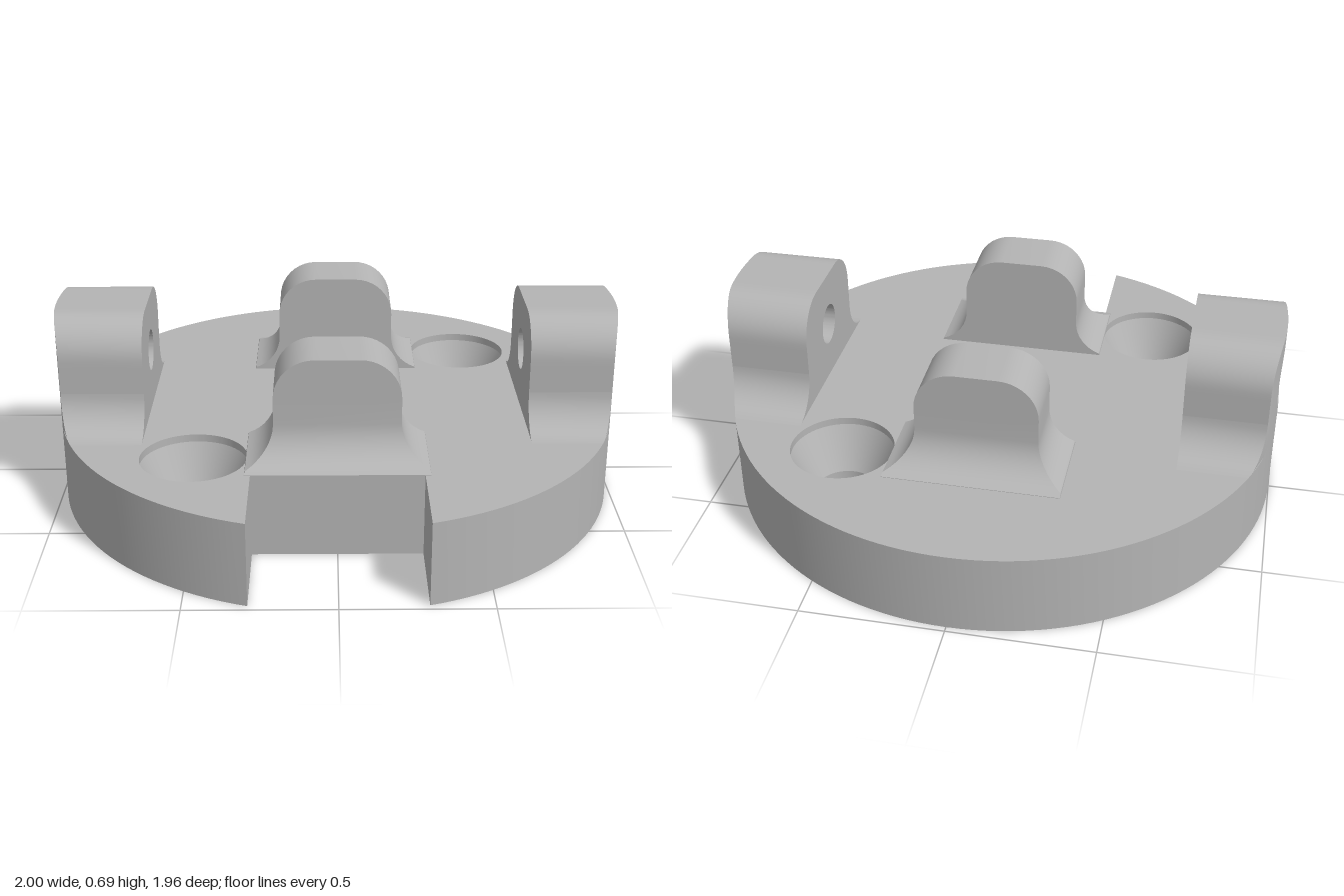
import * as THREE from 'three';
import { toCreasedNormals } from 'three/addons/utils/BufferGeometryUtils.js';

const PLATE = 0.295;          // plate thickness
const FILLET = 0.135;         // radius where lugs meet the plate
const CREASE = 0.4;
const STEPS = 10;

const rimX = (u) => Math.sqrt(1 - u * u); // edge of the round plate

// Skin consecutive loops that run counter-clockwise about the direction of travel
function loft(loops, closed = false) {
  const n = loops[0].length, pos = loops.flat(2), idx = [];
  const last = closed ? loops.length : loops.length - 1;
  for (let k = 0; k < last; k++) {
    const a = k * n, b = ((k + 1) % loops.length) * n;
    for (let i = 0; i < n; i++) {
      const j = (i + 1) % n;
      idx.push(a + i, a + j, b + j, a + i, b + j, b + i);
    }
  }
  const g = new THREE.BufferGeometry();
  g.setAttribute('position', new THREE.Float32BufferAttribute(pos, 3));
  g.setIndex(idx);
  return toCreasedNormals(g, CREASE);
}

// Round plate with a notch at the front and two holes
function plateGeometry() {
  const a = Math.asin(0.29);
  const s = new THREE.Shape();
  s.moveTo(-0.29, -0.63);
  s.lineTo(0.29, -0.63);
  s.absarc(0, 0, 1, -Math.PI / 2 + a, 1.5 * Math.PI - a, false);
  s.closePath();
  for (const k of [-1, 1]) {
    s.holes.push(new THREE.Path().absarc(k * 0.488, k * 0.487, 0.183, 0, Math.PI * 2, true));
  }
  const g = new THREE.ExtrudeGeometry(s, { depth: PLATE, bevelEnabled: false, curveSegments: 64 });
  return toCreasedNormals(g.rotateX(-Math.PI / 2), CREASE);
}

// Conical lining of a plate hole
function countersinkGeometry() {
  const pts = [[0.184, 0.27], [0.11, 0.11], [0.11, 0], [0.184, 0]].map((p) => new THREE.Vector2(...p));
  return toCreasedNormals(new THREE.LatheGeometry(pts, 64), CREASE);
}

// Rounded tab with mitred fillets on three sides, made of stacked rectangles
function tabGeometry() {
  const inner = 0.3, outer = 0.517, half = 0.215, round = 0.14, top = 0.66;
  const ring = (w, z, y) => [[w, y, z], [w, y, inner], [-w, y, inner], [-w, y, z]];
  const loops = [];
  for (let i = 0; i <= STEPS; i++) {
    const t = (i / STEPS) * Math.PI / 2;
    const d = FILLET * (1 - Math.sin(t));
    loops.push(ring(Math.min(half + d, 0.31), Math.min(outer + d, 0.63), PLATE + FILLET * (1 - Math.cos(t))));
  }
  for (let i = 0; i <= STEPS; i++) {
    const t = (i / STEPS) * Math.PI / 2;
    loops.push(ring(half - round * (1 - Math.cos(t)), outer, top - round + round * Math.sin(t)));
  }
  loops.push(Array(4).fill([0, top, (inner + outer) / 2]));
  return loft(loops);
}

const LUG = { inner: 0.675, half: 0.255, top: 0.69, round: 0.14, holeY: 0.495 };

// Upright lug following the plate's rim, with a countersunk cross hole
function lugGeometry() {
  const { inner, half, top, round, holeY } = LUG;
  const out = [];
  const line = (x0, y0, x1, y1, n) => {
    for (let i = 0; i < n; i++) out.push([x0 + (x1 - x0) * i / n, y0 + (y1 - y0) * i / n]);
  };
  const arc = (cx, a0) => {
    for (let i = 0; i < STEPS; i++) {
      const t = a0 + (i / STEPS) * Math.PI / 2;
      out.push([cx + round * Math.cos(t), top - round + round * Math.sin(t)]);
    }
  };
  line(-half, PLATE, half, PLATE, 14);
  line(half, PLATE, half, top - round, 10);
  arc(half - round, 0);
  line(half - round, top, round - half, top, 10);
  arc(round - half, Math.PI / 2);
  line(-half, top - round, -half, PLATE, 10);

  const hole = (r) => out.map(([u, y]) => {
    const a = Math.atan2(y - holeY, u);
    return [r * Math.cos(a), holeY + r * Math.sin(a)];
  });
  const at = (pts, x) => pts.map(([u, y]) => [x ?? rimX(u), y, -u]);
  const wide = hole(0.13), narrow = hole(0.075);
  const loops = [at(out, inner)];
  for (let k = 0; k <= 4; k++) {
    loops.push(at(out.map((p, i) => p.map((v, c) => v + (wide[i][c] - v) * k / 4))));
  }
  loops.push(at(wide, 0.965), at(narrow, 0.845), at(narrow, inner));
  return loft(loops, true);
}

// Concave fillet at one foot of a lug
function footGeometry(side) {
  const { inner, half } = LUG;
  let pts = [[half, PLATE]];
  for (let i = 0; i <= STEPS; i++) {
    const t = (i / STEPS) * Math.PI / 2;
    pts.push([half + FILLET * (1 - Math.sin(t)), PLATE + FILLET * (1 - Math.cos(t))]);
  }
  if (side < 0) pts = pts.map(([u, y]) => [-u, y]).reverse();
  const apex = pts.map(() => [side * half, PLATE]);
  const at = (p, x) => p.map(([u, y]) => [x ?? rimX(u), y, -u]);
  return loft([at(apex, inner), at(pts, inner), at(pts), at(apex)]);
}

export function createModel() {
  const model = new THREE.Group();
  model.name = 'mountingPlate';
  const body = new THREE.Group();
  body.name = 'body';
  body.position.z = 0.02;
  model.add(body);

  const grey = new THREE.MeshStandardMaterial({ color: 0xb4b4b4 });
  grey.name = 'grey';
  const add = (name, geometry, parent = body) => {
    const m = new THREE.Mesh(geometry, grey);
    m.name = name;
    parent.add(m);
    return m;
  };

  add('roundPlate', plateGeometry());

  // Each feature appears twice, half a turn apart
  for (const k of [0, 1]) {
    const half = new THREE.Group();
    half.name = k ? 'backRightFeatures' : 'frontLeftFeatures';
    half.rotation.y = k * Math.PI;
    body.add(half);
    add(k ? 'backTab' : 'frontTab', tabGeometry(), half);
    add(k ? 'rightLug' : 'leftLug', lugGeometry(), half);
    for (const side of [-1, 1]) add('lugFillet', footGeometry(side), half);
    add('countersunkHole', countersinkGeometry(), half).position.set(-0.488, 0, 0.487);
  }
  return model;
}
